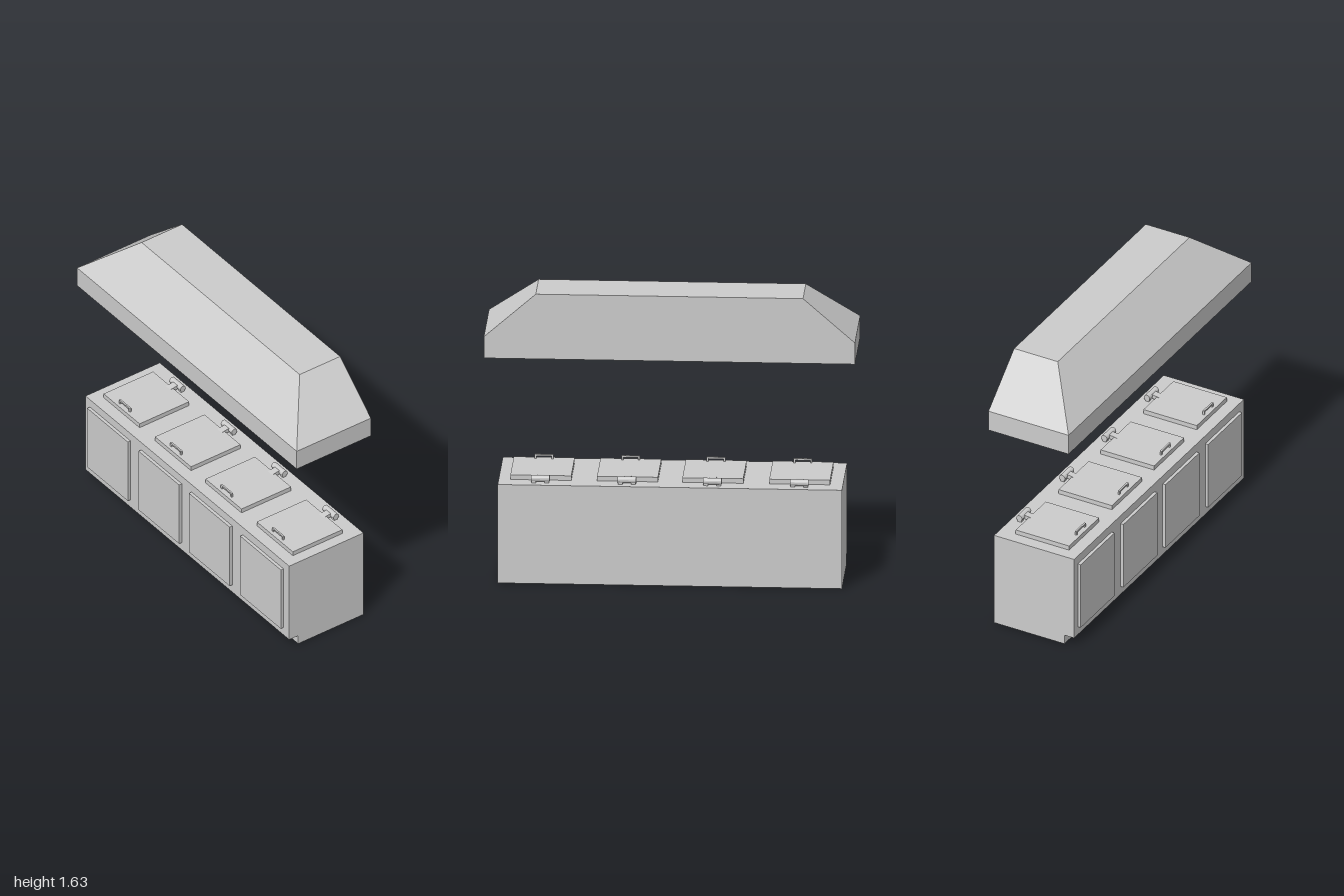
import * as THREE from 'three';

const material = new THREE.MeshStandardMaterial({ color: 0xcccccc, flatShading: true });

function add(parent, name, geometry, x = 0, y = 0, z = 0) {
  const mesh = new THREE.Mesh(geometry, material);
  mesh.name = name;
  mesh.position.set(x, y, z);
  parent.add(mesh);
  return mesh;
}

// Box given by its limits in x, y and z
function box(parent, name, x0, x1, y0, y1, z0, z1) {
  return add(parent, name, new THREE.BoxGeometry(x1 - x0, y1 - y0, z1 - z0),
    (x0 + x1) / 2, (y0 + y1) / 2, (z0 + z1) / 2);
}

// Profile in x and y, extruded from z0 to z1
function prism(parent, name, points, z0, z1) {
  const shape = new THREE.Shape(points.map(([x, y]) => new THREE.Vector2(x, y)));
  const geometry = new THREE.ExtrudeGeometry(shape, { depth: z1 - z0, bevelEnabled: false });
  return add(parent, name, geometry, 0, 0, z0);
}

// Hollow hood: rectangular rings run from the inner ceiling, under the rim, to the outer top
function hoodGeometry() {
  const ring = (x0, x1, z, y) => [[x0, y, z], [x1, y, z], [x1, y, -z], [x0, y, -z]];
  const rings = [
    ring(0, 0.22, 0.705, 1.6),
    ring(-0.215, 0.22, 0.97, 1.37),
    ring(-0.215, 0.22, 0.97, 1.265),
    ring(-0.245, 0.25, 1, 1.265),
    ring(-0.245, 0.25, 1, 1.385),
    ring(-0.02, 0.25, 0.72, 1.63),
  ];
  const positions = [];
  const quad = (a, b, c, d) => positions.push(...a, ...b, ...c, ...a, ...c, ...d);
  for (let r = 0; r < rings.length - 1; r++) {
    for (let i = 0; i < 4; i++) {
      const j = (i + 1) % 4;
      quad(rings[r][i], rings[r][j], rings[r + 1][j], rings[r + 1][i]);
    }
  }
  quad(...rings[5]);
  quad(...[...rings[0]].reverse());
  const geometry = new THREE.BufferGeometry();
  geometry.setAttribute('position', new THREE.Float32BufferAttribute(positions, 3));
  geometry.computeVertexNormals();
  return geometry;
}

// Lid with its grip and rear hinge, centred on z = 0
function createLid() {
  const lid = new THREE.Group();
  lid.name = 'lid';
  box(lid, 'lidPanel', -0.17, 0.16, 0.553, 0.581, -0.164, 0.164);

  // Arched grip
  box(lid, 'gripBar', -0.152, -0.142, 0.596, 0.605, -0.05, 0.05);
  for (const s of [-1, 1]) {
    box(lid, 'gripLeg', -0.152, -0.142, 0.578, 0.6, s * 0.045 - 0.005, s * 0.045 + 0.005);
  }

  // Hinge arm, barrel and mounting feet
  prism(lid, 'hingeArm', [[0.14, 0.581], [0.16, 0.56], [0.2, 0.566], [0.2, 0.59]], -0.02, 0.02);
  const barrel = new THREE.CylinderGeometry(0.018, 0.018, 0.1, 16).rotateX(Math.PI / 2);
  add(lid, 'hingeBarrel', barrel, 0.203, 0.578, 0);
  for (const s of [-1, 1]) {
    box(lid, 'hingeFoot', 0.192, 0.214, 0.553, 0.575, s * 0.035 - 0.012, s * 0.035 + 0.012);
  }
  return lid;
}

export function createModel() {
  const model = new THREE.Group();
  model.name = 'lidded counter with hood';

  // Cabinet with a recessed toe kick below the doors
  prism(model, 'cabinet', [
    [-0.18, 0], [0.255, 0], [0.255, 0.555], [-0.24, 0.555], [-0.24, 0.055], [-0.18, 0.055],
  ], -0.93, 0.925);

  // Doors along the working side
  for (const z of [-0.705, -0.238, 0.222, 0.688]) {
    box(model, 'door', -0.258, -0.238, 0.105, 0.505, z - 0.185, z + 0.185);
  }

  // Lids on the worktop
  for (const z of [-0.697, -0.229, 0.231, 0.698]) {
    const lid = createLid();
    lid.position.z = z;
    model.add(lid);
  }

  add(model, 'hood', hoodGeometry());
  return model;
}
